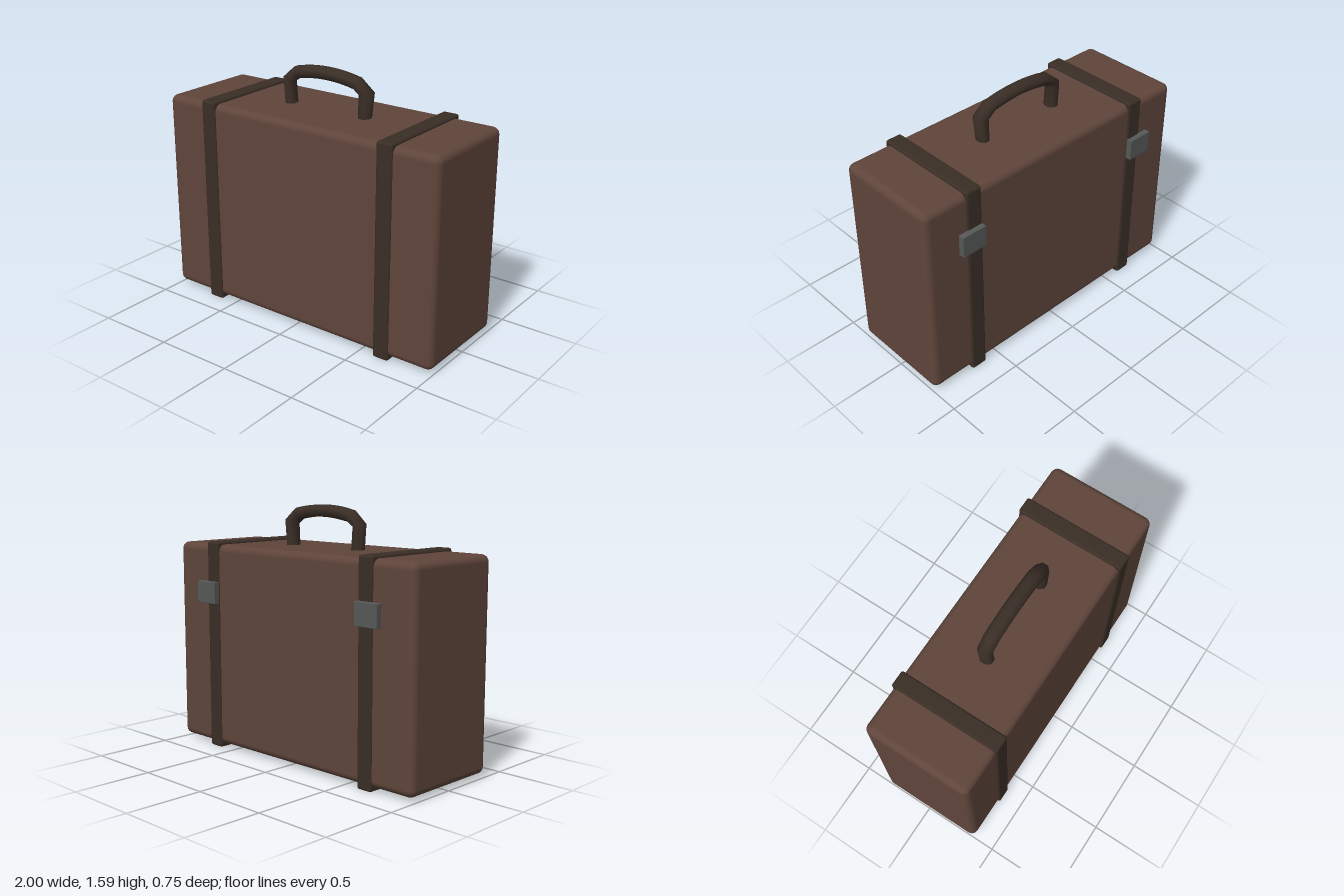
import * as THREE from 'three';
import { RoundedBoxGeometry } from 'three/addons/geometries/RoundedBoxGeometry.js';

const Z = 0.014; // centre of the case in depth

function material(name, color) {
  const m = new THREE.MeshStandardMaterial({ color });
  m.name = name;
  return m;
}

// Octagonal bar swept along a planar path, a little wider in z than in the plane
function sweptBar(points, halfThick, halfWidth) {
  const sides = 8, pos = [], index = [];
  const k = 1 / Math.cos(Math.PI / sides);
  points.forEach((p, i) => {
    const a = points[Math.max(i - 1, 0)], b = points[Math.min(i + 1, points.length - 1)];
    const t = b.clone().sub(a).normalize();
    // widen the section at bends so the bar keeps its thickness
    const seg = (i > 0 ? p.clone().sub(a) : b.clone().sub(p)).normalize();
    const miter = 1 / Math.max(0.8, t.dot(seg));
    for (let j = 0; j < sides; j++) {
      const ang = (j + 0.5) / sides * Math.PI * 2;
      const n = Math.cos(ang) * halfThick * k * miter;
      pos.push(p.x - t.y * n, p.y + t.x * n, Math.sin(ang) * halfWidth * k);
    }
  });
  for (let i = 0; i < points.length - 1; i++) {
    for (let j = 0; j < sides; j++) {
      const a = i * sides + j, b = i * sides + (j + 1) % sides;
      index.push(a, b, a + sides, b, b + sides, a + sides);
    }
  }
  const g = new THREE.BufferGeometry();
  g.setAttribute('position', new THREE.Float32BufferAttribute(pos, 3));
  g.setIndex(index);
  g.computeVertexNormals();
  return g;
}

export function createModel() {
  const group = new THREE.Group();
  const leather = material('brown leather', 0x5f453b);
  const darkLeather = material('dark leather', 0x3a2e26);
  const metal = material('grey metal', 0x565957);

  const add = (name, geometry, mat, x, y, z) => {
    const mesh = new THREE.Mesh(geometry, mat);
    mesh.name = name;
    mesh.position.set(x, y, z);
    group.add(mesh);
  };

  // Case
  add('caseBody', new RoundedBoxGeometry(2, 1.305, 0.69, 4, 0.045), leather, 0, 0.675, Z);

  // Straps around the case, with a clasp on the back of each
  for (const [side, s] of [['left', 1], ['right', -1]]) {
    add(side + 'Strap', new RoundedBoxGeometry(0.108, 1.345, 0.712, 2, 0.015), darkLeather,
      s * 0.655, 0.6725, Z);
    add(side + 'Clasp', new RoundedBoxGeometry(0.17, 0.14, 0.04, 1, 0.004), metal,
      s * 0.688, 1.02, -0.355);
  }

  // Handle: two legs, bevelled corners and a gently bowed grip
  const path = [[-0.276, 1.31], [-0.288, 1.475], [-0.222, 1.527]];
  for (let i = 1; i < 8; i++) {
    const x = -0.222 + i * 0.0555;
    path.push([x, 1.552 - 0.025 * (x / 0.222) ** 2]);
  }
  path.push([0.222, 1.527], [0.288, 1.475], [0.276, 1.31]);
  add('handle', sweptBar(path.map(([x, y]) => new THREE.Vector2(x, y)), 0.037, 0.044),
    darkLeather, 0, 0, Z);

  return group;
}
